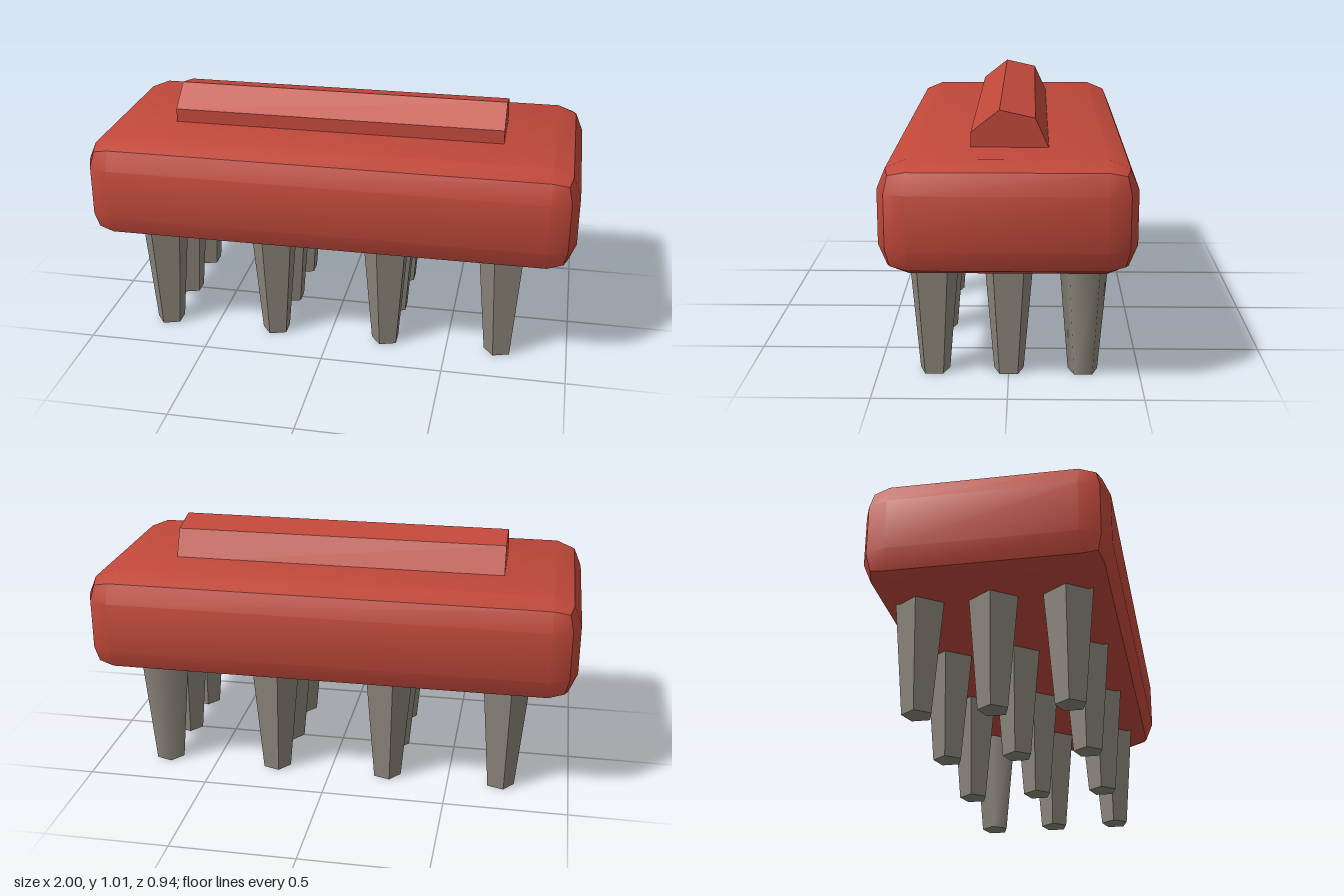
import * as THREE from 'three';
import { toCreasedNormals } from 'three/addons/utils/BufferGeometryUtils.js';
import { RoundedBoxGeometry } from 'three/addons/geometries/RoundedBoxGeometry.js';

const red = new THREE.MeshStandardMaterial({ name: 'brick red', color: 0xc0483a });
const grey = new THREE.MeshStandardMaterial({ name: 'warm grey', color: 0x8a857a });

const CREASE = Math.PI / 6;
const LEG_HEIGHT = 0.47;

function addMesh(parent, name, geometry, material) {
  const mesh = new THREE.Mesh(geometry, material);
  mesh.name = name;
  parent.add(mesh);
  return mesh;
}

export function createModel() {
  const model = new THREE.Group();
  model.name = 'blockOnLegs';

  // Body: chamfered slab, soft across the shallow bevels and sharp along the edges
  const slab = toCreasedNormals(new RoundedBoxGeometry(2, 0.425, 0.94, 1, 0.11), CREASE);
  addMesh(model, 'body', slab, red).position.y = 0.6575;

  // Ridge: uneven five-sided profile (z, y) run along x, sunk slightly into the body
  const profile = [[0.142, 0.85], [0.142, 0.926], [0.035, 1.01], [-0.098, 0.98], [-0.158, 0.85]];
  const shape = new THREE.Shape(profile.map(([z, y]) => new THREE.Vector2(-z, y)));
  const ridge = new THREE.ExtrudeGeometry(shape, { depth: 1.372, bevelEnabled: false });
  ridge.rotateY(Math.PI / 2).translate(-0.687, 0, 0);
  addMesh(model, 'ridge', ridge, red);

  // Legs: tapered pentagonal posts, four columns by three rows
  const smoothLeg = new THREE.CylinderGeometry(0.102, 0.06, LEG_HEIGHT, 5, 1, false, -Math.PI / 2);
  const facetedLeg = toCreasedNormals(smoothLeg, CREASE);
  const legs = new THREE.Group();
  legs.name = 'legs';
  model.add(legs);
  for (let column = 0; column < 4; column++) {
    for (let row = 0; row < 3; row++) {
      // The back left corner leg is the only smooth-shaded one
      const isSmooth = column === 3 && row === 0;
      const leg = addMesh(legs, 'leg', isSmooth ? smoothLeg : facetedLeg, grey);
      leg.position.set(-0.717 + column * 0.478, LEG_HEIGHT / 2, (row - 1) * 0.285);
    }
  }

  return model;
}
